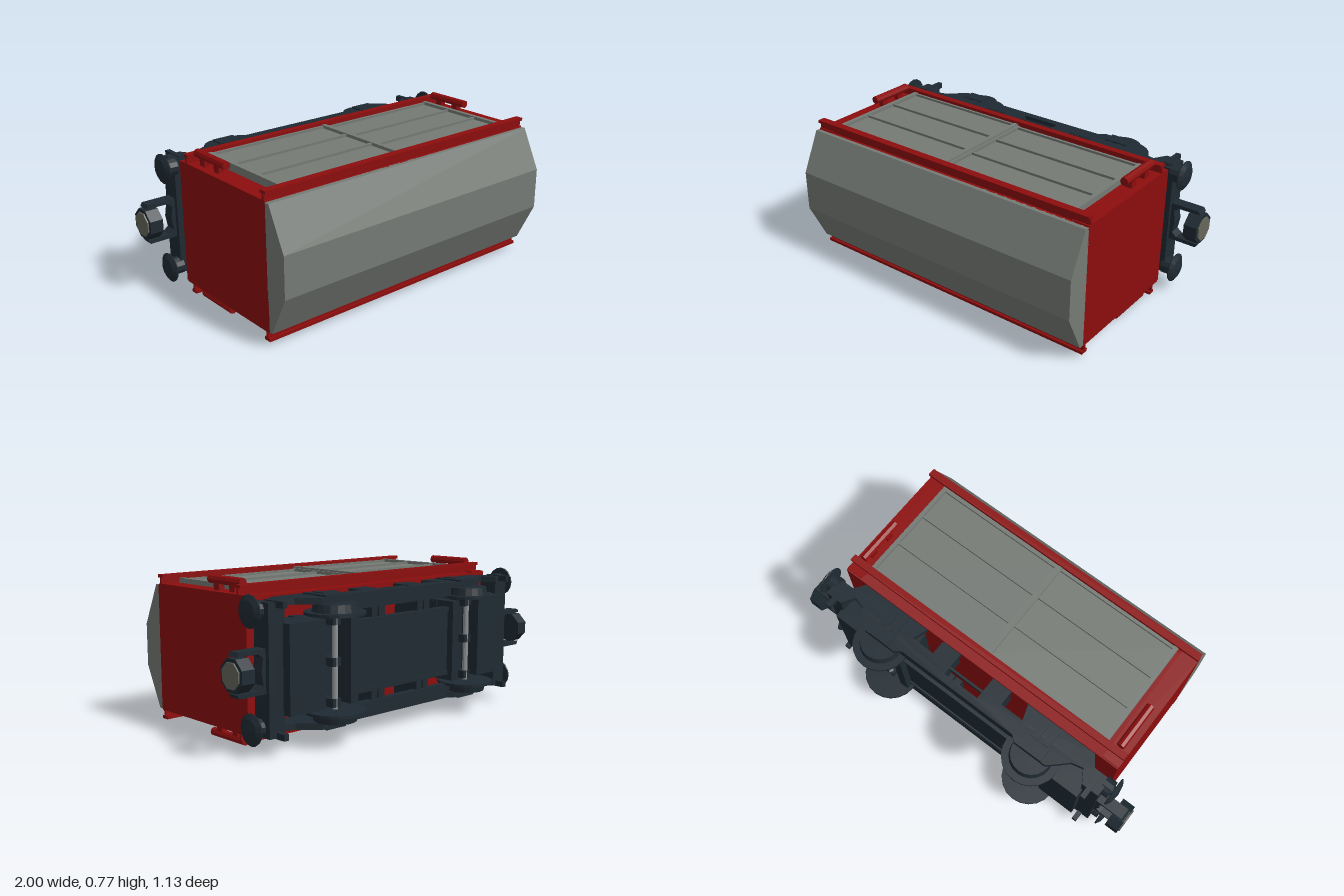
import * as THREE from 'three';

const mat = (color, side = THREE.FrontSide) => new THREE.MeshStandardMaterial({ color, side, flatShading: true });

export function createModel() {
  const root = new THREE.Group();
  // the wagon lies on its side: x = length, y = width, z = height
  const wagon = new THREE.Group();
  wagon.name = 'wagon';
  wagon.position.y = 0.385;
  root.add(wagon);

  const red = mat(0x8c0d0d), grey = mat(0x757a75), dark = mat(0x1f2a32);
  const steel = mat(0x8d9192), face = mat(0x66665c);

  const add = (name, geo, m) => {
    const mesh = new THREE.Mesh(geo, m);
    mesh.name = name;
    wagon.add(mesh);
    return mesh;
  };
  const box = (name, m, x0, x1, y0, y1, z0, z1) => {
    const g = new THREE.BoxGeometry(Math.abs(x1 - x0), Math.abs(y1 - y0), Math.abs(z1 - z0));
    g.translate((x0 + x1) / 2, (y0 + y1) / 2, (z0 + z1) / 2);
    return add(name, g, m);
  };
  const polygon = pts => new THREE.Shape(pts.map(p => new THREE.Vector2(p[0], p[1])));
  const extrude = (shape, depth) => new THREE.ExtrudeGeometry(shape, { depth, bevelEnabled: false });
  // disc or rod along x or y
  const rod = (name, m, axis, r0, r1, len, n, x, y, z) => {
    const g = new THREE.CylinderGeometry(r1, r0, len, n);
    if (axis === 'x') g.rotateZ(-Math.PI / 2).rotateX(Math.PI / n);
    g.translate(x, y, z);
    return add(name, g, m);
  };
  const signs = [1, -1];

  // roof with five facets
  const roof = extrude(polygon([[-0.31, 0.44], [0.31, 0.44], [0.31, 0.465], [0.105, 0.565], [-0.105, 0.565], [-0.31, 0.465]]), 1.66);
  roof.applyMatrix4(new THREE.Matrix4().makeBasis(
    new THREE.Vector3(0, 1, 0), new THREE.Vector3(0, 0, 1), new THREE.Vector3(1, 0, 0)));
  roof.translate(-0.83, 0, 0);
  add('roof', roof, grey);

  // body
  box('body', red, -0.83, 0.83, -0.31, 0.31, -0.247, 0.445);

  for (const s of signs) {
    // door rails, I-shaped in section
    for (const [z, w] of [[0.425, 0.02], [-0.188, 0.018]]) {
      box('railWeb', red, -0.83, 0.83, s * 0.30, s * 0.35, z - 0.006, z + 0.006);
      box('railCap', red, -0.83, 0.83, s * 0.345, s * 0.36, z - w, z + w);
    }
    // sliding doors with frames and ribs
    for (const [x0, x1, out] of [[-0.72, -0.005, 0.345], [-0.015, 0.73, 0.335]]) {
      box('doorPanel', grey, x0, x1, s * 0.30, s * (out - 0.012), -0.172, 0.415);
      for (const x of [x0, x1 - 0.022]) box('doorPost', grey, x, x + 0.022, s * 0.3, s * (out + 0.004), -0.172, 0.412);
      for (const z of [-0.165, 0.02, 0.21, 0.395]) {
        box('doorRib', grey, x0, x1, s * 0.31, s * out, z - 0.007, z + 0.007);
      }
    }
    // end posts and grab handles
    for (const e of signs) {
      box('endPost', red, e * 0.74, e * 0.83, s * 0.30, s * 0.316, -0.24, 0.44);
      const bar = new THREE.CylinderGeometry(0.021, 0.021, 0.245, 8).rotateX(Math.PI / 2);
      bar.translate(e * 0.78, s * 0.364, -0.042);
      add('handleBar', bar, red);
      for (const z of [0.016, -0.102]) {
        box('handleFoot', red, e * 0.765, e * 0.795, s * 0.3, s * 0.362, z - 0.02, z + 0.02);
      }
    }
  }

  // side frames
  const framePts = [[0, -0.41], [0.34, -0.41], [0.37, -0.435], [0.55, -0.435], [0.59, -0.40], [0.64, -0.35], [0.70, -0.335],
    [0.74, -0.40], [0.83, -0.40], [0.83, -0.335], [0.74, -0.30], [0.70, -0.245], [0.31, -0.245], [0.34, -0.335], [0.21, -0.335],
    [0.21, -0.245], [0.10, -0.245], [0.10, -0.372], [0, -0.372]];
  for (const s of signs) {
    const whole = [...framePts, ...framePts.slice(1, -1).reverse().map(p => [-p[0], p[1]])];
    const g = extrude(polygon(whole), 0.03).rotateX(Math.PI / 2);
    g.translate(0, s * 0.285 + 0.015, 0);
    add('sideFrame', g, dark);
    box('sideRail', dark, -0.34, 0.34, s * 0.272, s * 0.298, -0.337, -0.325);
    box('sideBeam', dark, -0.36, 0.36, s * 0.225, s * 0.275, -0.41, -0.375);
  }

  // centre of the chassis
  box('centreSlab', dark, -0.36, 0.36, -0.17, 0.17, -0.41, -0.378);
  for (const s of signs) box('slabEdge', dark, -0.36, 0.36, s * 0.155, s * 0.175, -0.418, -0.376);

  for (const e of signs) {
    // wheelset cradle
    box('cradleFloor', dark, e * 0.33, e * 0.70, -0.2, 0.2, -0.34, -0.24);
    for (const x of [0.36, 0.565]) {
      box('cradleWall', dark, e * (x - 0.025), e * (x + 0.025), -0.205, 0.205, -0.445, -0.24);
    }
    for (const x of [0.135, 0.185]) for (const s of signs) {
      box('crossMember', dark, e * (x - 0.02), e * (x + 0.02), s * 0.15, s * 0.29, -0.40, -0.245);
    }
    // axle
    rod('axle', steel, 'y', 0.014, 0.014, 0.5, 10, e * 0.465, 0, -0.425);
    for (const y of [-0.19, 0, 0.19]) {
      box('axleBearing', dark, e * 0.44, e * 0.49, y - 0.02, y + 0.02, -0.438, -0.30);
    }
    for (const s of signs) {
      // wheels: inner flange and tread
      rod('wheelFlange', dark, 'y', 0.143, 0.143, 0.014, 20, e * 0.465, s * 0.226, -0.425);
      const r = s > 0 ? [0.108, 0.1] : [0.1, 0.108];
      rod('wheelTread', dark, 'y', r[0], r[1], 0.04, 20, e * 0.465, s * 0.251, -0.425);
      // axle boxes and springs
      box('axleBox', dark, e * 0.405, e * 0.525, s * 0.27, s * 0.308, -0.435, -0.365);
      for (const x of [0.435, 0.495]) {
        box('spring', dark, e * (x - 0.02), e * (x + 0.02), s * 0.27, s * 0.306, -0.36, -0.26);
      }
      // buffers
      rod('bufferHousing', dark, 'x', 0.045, 0.045, 0.05, 12, e * 0.84, s * 0.26, -0.33);
      const profile = [[0, -0.09], [0.026, -0.09], [0.026, -0.028], [0.073, -0.028], [0.075, -0.022], [0.05, -0.008], [0, 0]];
      const buffer = new THREE.LatheGeometry(profile.map(p => new THREE.Vector2(p[0], p[1])), 16);
      buffer.rotateZ(-e * Math.PI / 2).translate(e * 0.9, s * 0.26, -0.33);
      add('buffer', buffer, dark);
      // end steps
      box('endStep', dark, e * 0.765, e * 0.79, s * 0.275, s * 0.305, -0.45, -0.32);
    }

    // end beam
    box('endBeam', dark, e * 0.74, e * 0.83, -0.29, 0.29, -0.40, -0.30);
    box('endBeamBack', dark, e * 0.58, e * 0.75, -0.205, 0.205, -0.445, -0.30);

    // coupler fork
    const fork = polygon([[0.80, -0.09], [0.83, -0.1], [0.975, -0.1], [0.985, -0.082], [0.87, -0.08], [0.845, -0.06], [0.855, 0],
      [0.845, 0.06], [0.87, 0.08], [0.985, 0.082], [0.975, 0.1], [0.83, 0.1], [0.80, 0.09]].map(p => [e * p[0], p[1]]));
    add('couplerFork', extrude(fork, 0.06).translate(0, 0, -0.38), dark);
    // coupler head with pale end face
    rod('couplerHead', dark, 'x', 0.08, 0.08, 0.068, 8, e * 0.959, 0, -0.35);
    rod('couplerFace', face, 'x', 0.062, 0.062, 0.01, 8, e * 0.995, 0, -0.35);
    rod('couplerPin', dark, 'y', 0.016, 0.016, 0.19, 8, e * 0.955, 0, -0.35);
  }
  return root;
}
